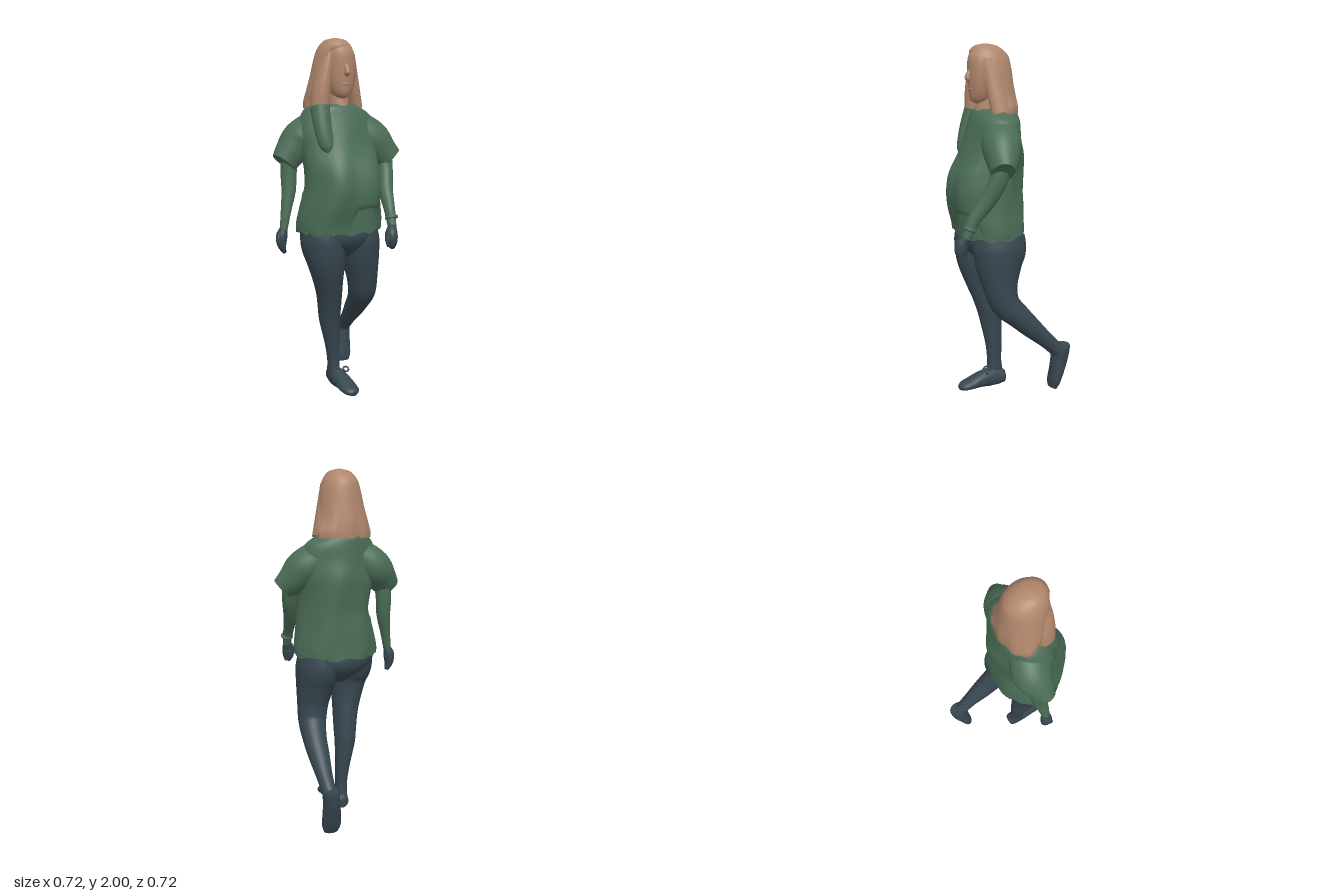
import * as THREE from 'three';
import { toCreasedNormals } from 'three/addons/utils/BufferGeometryUtils.js';

const material = (name, color) => {
  const m = new THREE.MeshStandardMaterial({ color, side: THREE.DoubleSide });
  m.name = name;
  return m;
};

// Skin a tube over elliptical sections [x, y, z, radiusX, radiusZ].
// flat keeps every ring horizontal; warp(point, angle, t) reshapes vertices.
function loft(sections, { flat = false, warp = null, sides = 28, steps = 4 } = {}) {
  const path = new THREE.CatmullRomCurve3(
    sections.map(s => new THREE.Vector3(s[0], s[1], s[2])), false, 'catmullrom');
  const radii = new THREE.CatmullRomCurve3(
    sections.map(s => new THREE.Vector3(s[3], s[4], 0)), false, 'catmullrom');
  const rows = (sections.length - 1) * steps;
  const positions = [], index = [];
  for (let i = 0; i <= rows; i++) {
    const t = i / rows;
    const c = path.getPoint(t), r = radii.getPoint(t);
    const T = flat ? new THREE.Vector3(0, -1, 0) : path.getTangent(t);
    const u = new THREE.Vector3(1, 0, 0).addScaledVector(T, -T.x).normalize();
    const v = new THREE.Vector3().crossVectors(T, u);
    for (let j = 0; j < sides; j++) {
      const a = (j / sides) * Math.PI * 2;
      const p = c.clone().addScaledVector(u, Math.cos(a) * r.x)
        .addScaledVector(v, Math.sin(a) * r.y);
      if (warp) warp(p, a, t);
      positions.push(p.x, p.y, p.z);
    }
  }
  for (let i = 0; i < rows; i++) {
    for (let j = 0; j < sides; j++) {
      const k = (j + 1) % sides;
      const a = i * sides + j, b = i * sides + k;
      index.push(a, b, a + sides, b, b + sides, a + sides);
    }
  }
  // End caps
  const first = path.getPoint(0), last = path.getPoint(1);
  const n = positions.length / 3, end = rows * sides;
  positions.push(first.x, first.y, first.z, last.x, last.y, last.z);
  for (let j = 0; j < sides; j++) {
    const k = (j + 1) % sides;
    index.push(n, k, j, n + 1, end + j, end + k);
  }
  const g = new THREE.BufferGeometry();
  g.setAttribute('position', new THREE.Float32BufferAttribute(positions, 3));
  g.setIndex(index);
  return toCreasedNormals(g, 0.9);
}

export function createModel() {
  const model = new THREE.Group();
  const skin = material('warm tan', 0xb0866c);
  const green = material('muted green', 0x4b6d57);
  const dark = material('dark slate', 0x37464f);
  const add = (name, geometry, mat) => {
    const mesh = new THREE.Mesh(geometry, mat);
    mesh.name = name;
    model.add(mesh);
    return mesh;
  };
  const smooth = THREE.MathUtils.smoothstep;

  // Head
  add('face', loft([
    [-.01, 1.97, .1, .055, .065], [-.005, 1.92, .108, .08, .082], [0, 1.82, .113, .08, .08],
    [0, 1.75, .115, .07, .074], [0, 1.7, .12, .048, .06], [0, 1.68, .125, .02, .03],
  ], { flat: true }), skin);
  add('neck', loft([[0, 1.76, .07, .055, .06], [0, 1.68, .08, .055, .065], [0, 1.61, .08, .06, .08]]), skin);
  add('nose', loft([
    [.002, 1.865, .184, .008, .008], [.004, 1.82, .196, .016, .021], [.004, 1.795, .185, .012, .01],
  ], { flat: true, sides: 12 }), skin);
  const lips = add('lips', new THREE.SphereGeometry(1, 16, 10), skin);
  lips.scale.set(.026, .012, .008);
  lips.position.set(.002, 1.757, .184);

  // Hair: a cap parted around the face, with a lock on each side
  add('hair', loft([
    [-.02, 2, .085, .012, .012], [-.02, 1.985, .083, .062, .07], [-.018, 1.94, .073, .096, .113],
    [-.017, 1.88, .065, .115, .122], [-.018, 1.8, .055, .13, .124],
    [-.02, 1.72, .035, .145, .115], [-.015, 1.66, .012, .16, .095], [-.015, 1.625, .008, .158, .09],
  ], {
    flat: true, sides: 40,
    warp: (p, a) => {
      const front = smooth(Math.sin(a), .65, .9);
      p.z -= front * .06 * (1 - smooth(p.y, 1.86, 1.97));
      p.z += .005 * Math.sin(a * 9) * (1 - smooth(p.y, 1.65, 1.85)) * (1 - front);
    },
  }), skin);
  add('rightHairLock', loft([
    [-.07, 1.93, .115, .025, .04], [-.095, 1.82, .11, .042, .058],
    [-.115, 1.71, .11, .05, .062], [-.122, 1.62, .115, .052, .055],
  ]), skin);
  add('leftHairLock', loft([
    [.065, 1.92, .095, .02, .04], [.085, 1.78, .07, .034, .055], [.118, 1.63, .045, .038, .058],
  ]), skin);
  add('rightLockEnd', loft([
    [-.122, 1.635, .117, .053, .056], [-.122, 1.53, .155, .051, .047],
    [-.11, 1.43, .188, .042, .035], [-.11, 1.39, .198, .015, .018],
  ]), green);

  // Loose blouse with folds and a hem gathered up at the front left
  add('blouse', loft([
    [-.01, 1.65, .04, .115, .1], [-.015, 1.63, .04, .155, .122], [0, 1.58, .045, .205, .135],
    [0, 1.5, .055, .226, .15], [.005, 1.4, .063, .218, .175], [.01, 1.3, .087, .213, .194],
    [.015, 1.2, .1, .215, .2], [.008, 1.1, .092, .228, .198], [.005, 1, .08, .243, .186],
    [.005, .95, .077, .242, .182],
  ], {
    flat: true, sides: 48,
    warp: (p, a, t) => {
      const fold = .007 * Math.sin(a * 6 + p.y * 7) * smooth(t, .15, .5);
      const corner = Math.abs(Math.cos(a)) * Math.max(0, Math.sin(a));
      p.x += Math.cos(a) * fold;
      p.z += Math.sin(a) * fold + .045 * corner * smooth(t, .35, .6);
      const gather = smooth(a, .5, .8) * (1 - smooth(a, 1.48, 1.58));
      p.y += smooth(t, .74, 1) * (.14 * gather + .012 * Math.sin(a * 7));
    },
  }), green);
  add('underLayer', loft([
    [.005, 1.16, .085, .21, .18], [.005, 1.03, .08, .234, .18], [.005, .945, .077, .24, .181],
  ], {
    flat: true, sides: 48,
    warp: (p, a, t) => { p.y += .008 * t * Math.sin(a * 11); },
  }), green);
  add('leftSleeve', loft([
    [.12, 1.51, .05, .1, .11], [.2, 1.45, .08, .108, .108],
    [.26, 1.385, .1, .09, .086], [.31, 1.335, .12, .076, .06],
  ]), green);
  add('rightSleeve', loft([
    [-.12, 1.51, .03, .1, .11], [-.195, 1.45, .0, .106, .11],
    [-.255, 1.385, .008, .089, .082], [-.3, 1.33, .02, .072, .058],
  ]), green);

  // Arms and hands
  add('leftArm', loft([
    [.27, 1.38, .1, .05, .05], [.265, 1.27, .135, .045, .052], [.245, 1.17, .19, .04, .047],
    [.235, 1.08, .255, .031, .036], [.232, .98, .3, .024, .024],
  ]), green);
  add('rightArm', loft([
    [-.255, 1.38, 0, .05, .05], [-.265, 1.27, 0, .045, .046], [-.27, 1.17, .01, .04, .042],
    [-.292, 1.06, .025, .029, .032], [-.31, .96, .035, .022, .023],
  ]), green);
  const bracelet = add('bracelet', new THREE.TorusGeometry(.026, .011, 10, 24), green);
  bracelet.position.set(.236, 1.03, .281);
  bracelet.rotation.x = Math.PI / 2 - .4;
  add('leftHand', loft([
    [.232, .985, .3, .023, .024], [.217, .945, .32, .034, .038],
    [.217, .9, .323, .032, .034], [.225, .868, .316, .015, .02],
  ]), dark);
  add('rightHand', loft([
    [-.31, .965, .035, .021, .023], [-.322, .92, .033, .032, .034],
    [-.322, .87, .032, .025, .03], [-.305, .825, .03, .01, .015],
  ]), dark);
  add('leftThumb', loft([[.195, .95, .33, .012, .013], [.187, .91, .336, .012, .012], [.192, .878, .333, .006, .006]], { sides: 12 }), dark);
  add('rightThumb', loft([[-.338, .94, .04, .012, .013], [-.347, .9, .05, .011, .012], [-.346, .868, .05, .006, .006]], { sides: 12 }), dark);

  // Trousers: right leg planted, left leg trailing with a bent knee
  add('hips', loft([
    [.005, 1, .075, .215, .155], [.01, .93, .073, .228, .17], [.01, .88, .07, .2, .16],
    [.015, .83, .07, .13, .12], [.02, .79, .07, .06, .07],
  ], { flat: true }), dark);
  add('rightLeg', loft([
    [-.105, .95, .09, .118, .145], [-.103, .87, .105, .121, .143], [-.09, .78, .118, .108, .122],
    [-.07, .66, .1, .085, .1],
    [-.055, .57, .08, .073, .085], [-.045, .47, .06, .066, .073], [-.04, .4, .05, .06, .067],
    [-.02, .25, .04, .042, .05], [-.012, .14, .04, .034, .044], [-.01, .05, .035, .036, .052],
  ]), dark);
  add('leftLeg', loft([
    [.125, .95, .065, .11, .15], [.13, .87, .065, .12, .157], [.14, .78, .073, .11, .135],
    [.157, .66, .07, .091, .1],
    [.17, .56, .045, .082, .084], [.185, .48, -.03, .07, .07], [.19, .4, -.11, .061, .06],
    [.195, .31, -.205, .046, .046], [.195, .235, -.28, .04, .042],
  ]), dark);

  // Shoes
  add('rightShoe', loft([
    [0, .042, -.02, .03, .036], [0, .042, -.005, .041, .043], [0, .045, .06, .046, .06],
    [.005, .045, .13, .05, .048], [.012, .033, .2, .052, .033],
    [.018, .025, .25, .044, .024], [.02, .02, .275, .02, .014],
  ], { warp: p => { p.y = Math.max(p.y, .002); } }), dark);
  add('leftShoe', loft([
    [.2, .268, -.3, .042, .056], [.197, .245, -.3, .046, .057], [.19, .18, -.295, .048, .053],
    [.185, .1, -.28, .054, .042], [.18, .04, -.266, .055, .034], [.18, .002, -.258, .042, .024],
  ]), dark);
  for (const side of [-1, 1]) {
    const bow = add('shoeBow', new THREE.TorusGeometry(.016, .005, 8, 16), dark);
    bow.position.set(.018 + side * .026, .1, .1);
    bow.rotation.set(-.9, 0, side * .3);
  }
  return model;
}
